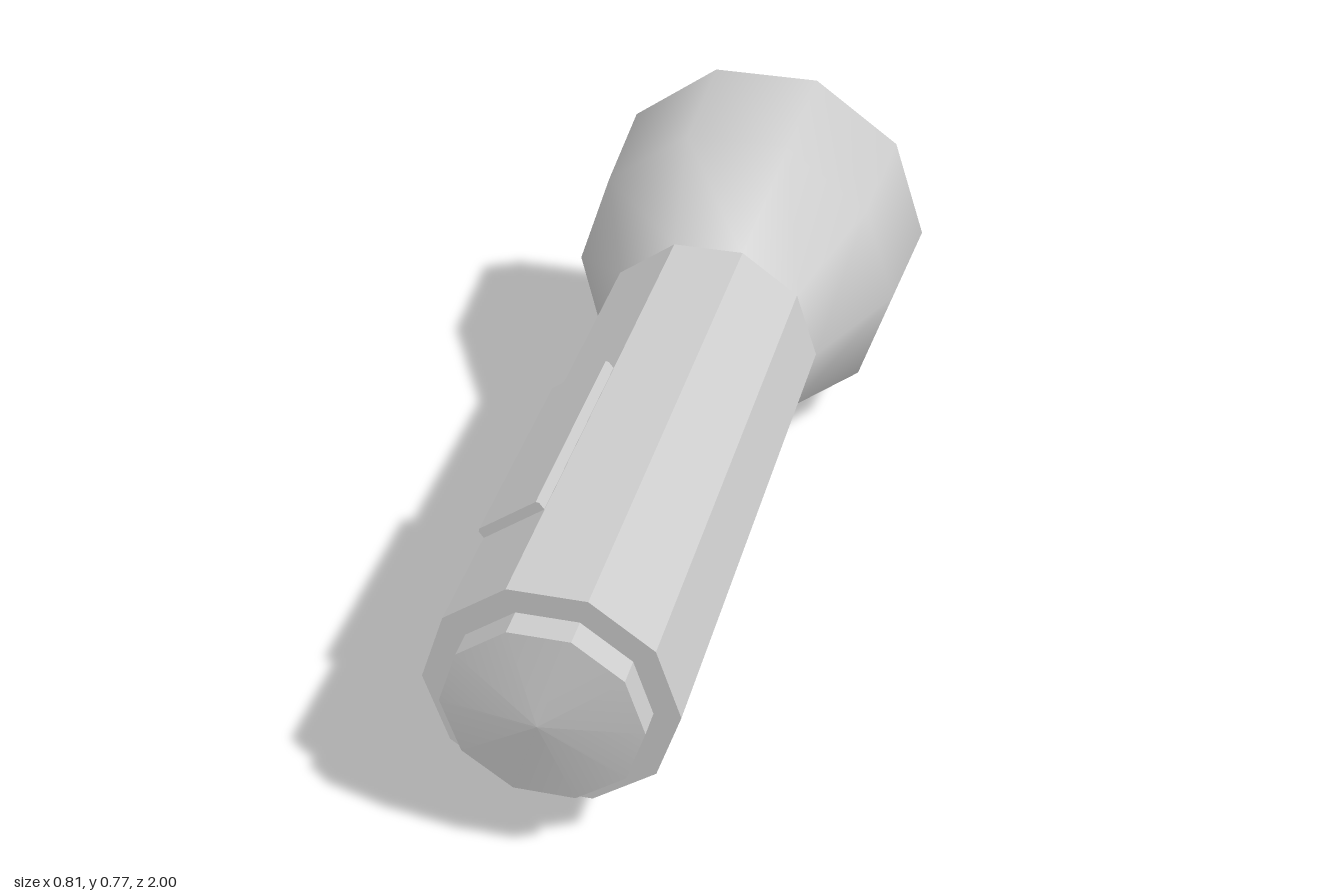
import * as THREE from 'three';

const SIDES = 10;
const AXIS_Y = 0.385;

export function createModel() {
  const model = new THREE.Group();
  model.name = 'flashlight';
  const smooth = new THREE.MeshStandardMaterial({ color: 0xcccccc });
  const flat = new THREE.MeshStandardMaterial({ color: 0xcccccc, flatShading: true });

  // Ten-sided turned part along z; profile is [radius, z] pairs
  function turned(name, profile, material, parent) {
    const points = profile.map(([r, z]) => new THREE.Vector2(r, z));
    const geometry = new THREE.LatheGeometry(points, SIDES, Math.PI / 2);
    geometry.rotateX(Math.PI / 2);
    const mesh = new THREE.Mesh(geometry, material);
    mesh.name = name;
    mesh.position.y = AXIS_Y;
    parent.add(mesh);
  }

  // Handle: faceted tube with a flat tail end
  turned('handle', [[0, -0.39], [0.256, -0.39], [0.256, 0.91], [0, 0.91]], flat, model);

  // Tail cap: short faceted collar and a shallow smooth dome
  const tailCap = new THREE.Group();
  tailCap.name = 'tailCap';
  model.add(tailCap);
  turned('capSide', [[0.202, 0.9], [0.202, 0.97]], flat, tailCap);
  turned('capEnd', [[0.202, 0.97], [0, 1]], smooth, tailCap);

  // Head: smooth flared shell, flat rim, faceted recess and dished reflector
  const head = new THREE.Group();
  head.name = 'head';
  model.add(head);
  turned('headShell', [[0.403, -1], [0.384, -0.68], [0.256, -0.39]], smooth, head);
  turned('headRim', [[0.35, -1], [0.403, -1]], flat, head);
  turned('headRecess', [[0.345, -0.81], [0.35, -1]], flat, head);
  turned('reflector', [[0, -0.75], [0.345, -0.81]], smooth, head);

  // Switch: chamfered bar lying on the upper -x facet of the handle
  const profile = new THREE.Shape([
    [-0.078, -0.02], [0.078, -0.02], [0.078, 0.017],
    [0.073, 0.022], [-0.073, 0.022], [-0.078, 0.017],
  ].map(([x, y]) => new THREE.Vector2(x, y)));
  const switchGeometry = new THREE.ExtrudeGeometry(profile, { depth: 0.515, bevelEnabled: false });
  const slider = new THREE.Mesh(switchGeometry, flat);
  slider.name = 'switch';
  const angle = THREE.MathUtils.degToRad(126);
  const apothem = 0.256 * Math.cos(Math.PI / SIDES);
  slider.position.set(Math.cos(angle) * apothem, AXIS_Y + Math.sin(angle) * apothem, 0.138);
  slider.rotation.z = angle - Math.PI / 2;
  model.add(slider);

  return model;
}
